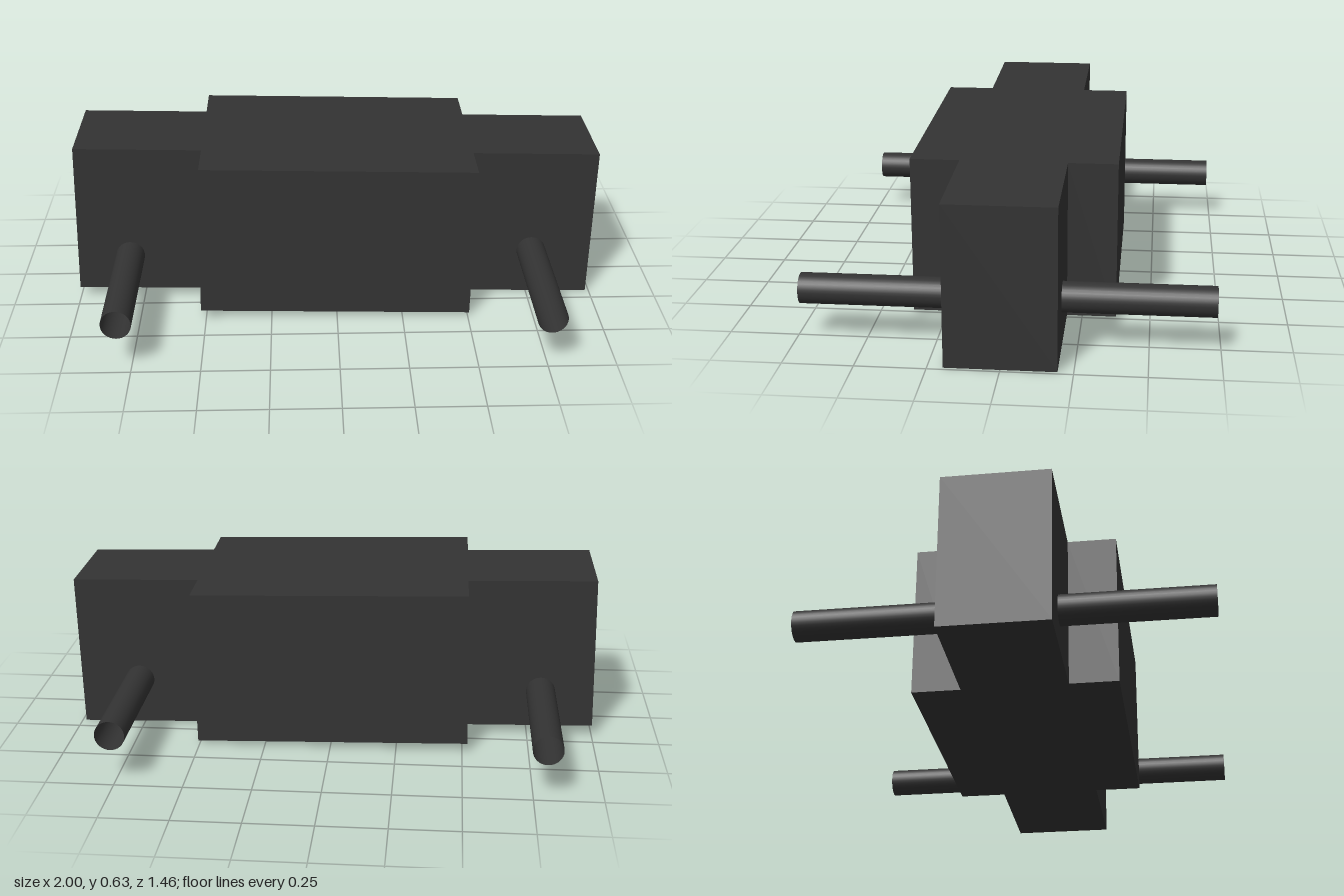
import * as THREE from 'three';

export function createModel() {
  const model = new THREE.Group();
  const charcoal = new THREE.MeshStandardMaterial({ color: 0x333333, side: THREE.DoubleSide });
  charcoal.name = 'charcoal';

  // Body: a stepped plan, wide in the middle, extruded upward and tilted slightly
  const height = 0.587, end = 0.993, step = 0.513, narrow = 0.195, wide = 0.375;
  const plan = new THREE.Shape([
    [-end, -narrow], [-step, -narrow], [-step, -wide], [step, -wide],
    [step, -narrow], [end, -narrow], [end, narrow], [step, narrow],
    [step, wide], [-step, wide], [-step, narrow], [-end, narrow],
  ].map(([x, y]) => new THREE.Vector2(x, y)));
  const bodyGeometry = new THREE.ExtrudeGeometry(plan, { depth: height, bevelEnabled: false });
  bodyGeometry.translate(0, 0, -height / 2).rotateX(-Math.PI / 2);
  const body = new THREE.Mesh(bodyGeometry, charcoal);
  body.name = 'body';
  body.position.y = 0.318;
  body.rotation.z = -0.0228;
  model.add(body);

  // Axles: level open tubes running through both narrow ends
  const axleGeometry = new THREE.CylinderGeometry(0.055, 0.055, 1.464, 32, 1, true).rotateX(Math.PI / 2);
  for (const [name, x] of [['rightAxle', -0.795], ['leftAxle', 0.76]]) {
    const axle = new THREE.Mesh(axleGeometry, charcoal);
    axle.name = name;
    axle.position.set(x, 0.186, 0);
    model.add(axle);
  }
  return model;
}
